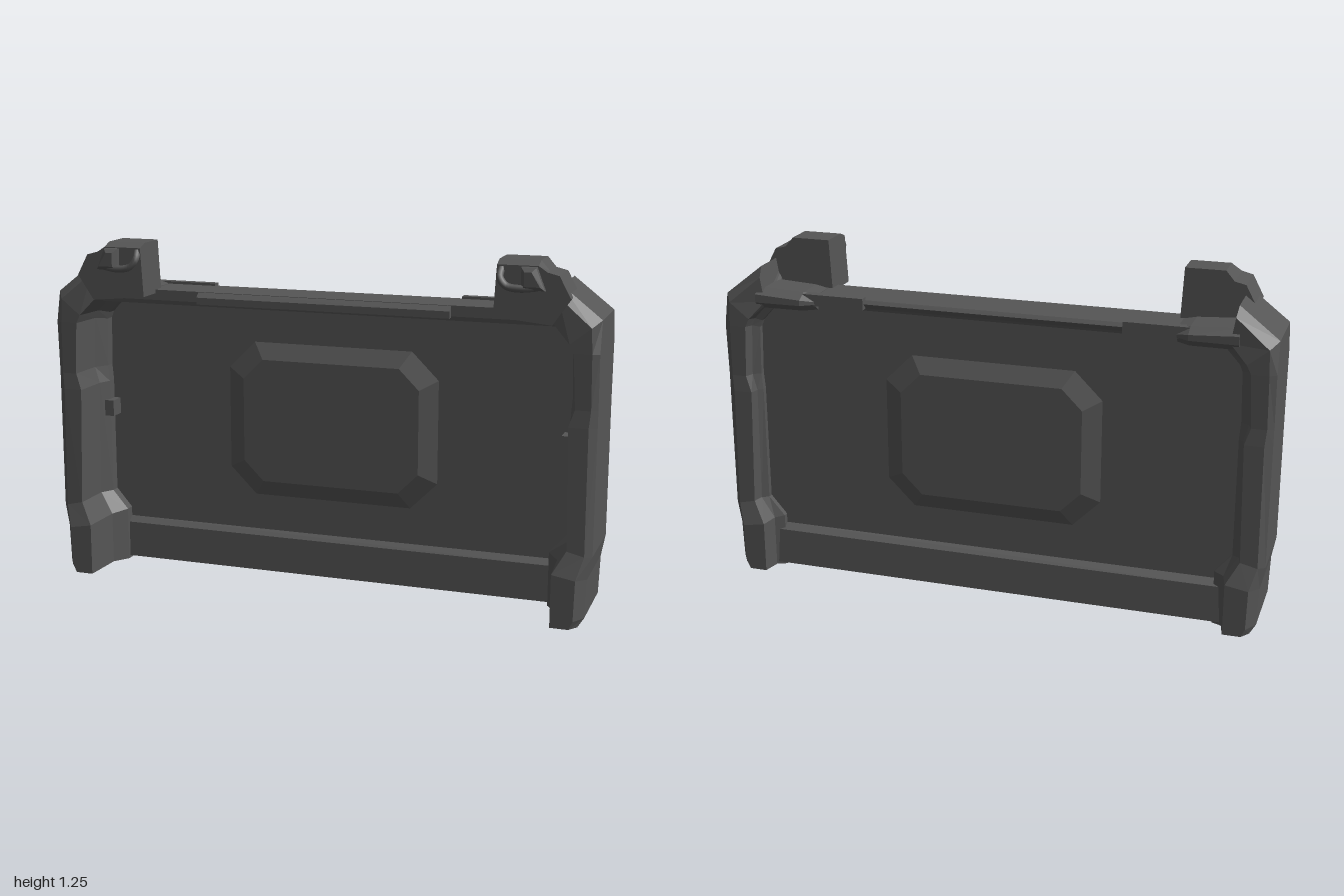
import * as THREE from 'three';

// Closed solid through rings of equal point count, flat shaded, capped at both ends
function loft(rings) {
  const pos = [];
  const tri = (...p) => p.forEach((v) => pos.push(...v));
  const n = rings[0].length;
  for (let i = 0; i < rings.length - 1; i++) {
    for (let j = 0; j < n; j++) {
      const k = (j + 1) % n;
      const a = rings[i][j], b = rings[i][k], c = rings[i + 1][k], d = rings[i + 1][j];
      tri(a, d, b);
      tri(b, d, c);
    }
  }
  const first = rings[0], last = rings[rings.length - 1];
  for (let j = 1; j < n - 1; j++) {
    tri(first[0], first[j], first[j + 1]);
    tri(last[0], last[j + 1], last[j]);
  }
  const g = new THREE.BufferGeometry();
  g.setAttribute('position', new THREE.Float32BufferAttribute(pos, 3));
  g.computeVertexNormals();
  return g;
}

// Mirrors a geometry across x = 0 and keeps its faces outward
function mirrorX(geometry) {
  const g = geometry.index ? geometry.toNonIndexed() : geometry.clone();
  for (const name of ['position', 'normal']) {
    const a = g.attributes[name];
    for (let i = 0; i < a.count; i += 3) {
      const v = [0, 2, 1].map((k) => [-a.getX(i + k), a.getY(i + k), a.getZ(i + k)]);
      v.forEach((p, k) => a.setXYZ(i + k, ...p));
    }
  }
  return g;
}

const box = (x0, x1, y0, y1, z0, z1) =>
  new THREE.BoxGeometry(x1 - x0, y1 - y0, z1 - z0).translate((x0 + x1) / 2, (y0 + y1) / 2, (z0 + z1) / 2);

// Bar along x with a [z, y] profile running front top, back top, back bottom, front bottom
const bar = (x0, x1, profile) => loft([x0, x1].map((x) => profile.map(([z, y]) => [x, y, z])));

export function createModel() {
  const model = new THREE.Group();
  const metal = new THREE.MeshStandardMaterial({ color: 0x555555 });
  metal.name = 'dark grey metal';

  const add = (name, geometry) => {
    const mesh = new THREE.Mesh(geometry, metal);
    mesh.name = name;
    model.add(mesh);
  };
  const pair = (name, geometry) => {
    add('left' + name, geometry);
    add('right' + name, mirrorX(geometry));
  };

  // Thin centre panel, set towards the back, with chamfered upper corners
  const outline = [[-0.92, 0.1], [-0.92, 0.95], [-0.83, 1.05], [0.83, 1.05], [0.92, 0.95], [0.92, 0.1]];
  add('panel', loft([-0.09, -0.06].map((z) => outline.map(([x, y]) => [x, y, z]))));

  // Raised octagonal plates on both faces
  const octagon = (w, h, c, z) => [
    [-w, -h + c], [-w, h - c], [-w + c, h], [w - c, h],
    [w, h - c], [w, -h + c], [w - c, -h], [-w + c, -h],
  ].map(([x, y]) => [x, y + 0.59, z]);
  const plate = loft([octagon(0.4, 0.29, 0.1, 0), octagon(0.335, 0.23, 0.075, 0.03)]);
  add('frontPlate', plate.clone().translate(0, 0, -0.06));
  add('backPlate', plate.clone().rotateY(Math.PI).translate(0, 0, -0.09));

  // Bottom beam with narrow sloped ledges
  add('bottomBeam', bar(-0.86, 0.86, [
    [-0.06, 0.165], [-0.09, 0.165], [-0.118, 0.145], [-0.122, 0.01], [-0.035, 0.01], [-0.037, 0.145],
  ]));

  // Top beam overhanging the panel, with a front lip and rear strips at the ends
  add('topBeam', bar(-0.86, 0.86, [
    [0.06, 1.073], [-0.105, 1.073], [-0.115, 1.06], [-0.095, 1.04], [-0.085, 1.02], [0.055, 1.02], [0.06, 1.035],
  ]));
  add('topLip', bar(-0.47, 0.47, [[0.058, 1.073], [0.05, 1.073], [0.05, 1.03], [0.08, 1.03], [0.08, 1.055]]));
  pair('RearStrip', box(0.47, 0.7, 1.04, 1.082, -0.125, -0.095));

  // Side posts: outer x, y; flange edge x, y; inner x, y; half depth outside and at the
  // flange; front depth of the inner step
  const stations = [
    [0.96, 0, 0.87, 0, 0.82, 0, 0.155, 0.19, 0.03],
    [0.98, 0.03, 0.87, 0.03, 0.82, 0.03, 0.14, 0.19, 0.03],
    [0.985, 0.17, 0.87, 0.19, 0.82, 0.2, 0.14, 0.19, 0.03],
    [1, 0.25, 0.915, 0.27, 0.88, 0.27, 0.137, 0.165, 0.02],
    [1, 0.70, 0.905, 0.70, 0.88, 0.70, 0.137, 0.16, 0.02],
    [1, 0.76, 0.925, 0.76, 0.885, 0.76, 0.137, 0.156, 0.02],
    [1, 0.95, 0.915, 0.95, 0.88, 0.94, 0.145, 0.16, 0.02],
    [1, 1.06, 0.9, 0.98, 0.87, 0.965, 0.117, 0.16, 0.02],
    [0.86, 1.17, 0.84, 1.045, 0.82, 1.02, 0.115, 0.145, 0.02],
  ];
  pair('Post', loft(stations.map(([ox, oy, nx, ny, ix, iy, ho, h, step]) => {
    const across = (t, z) => [ox + (nx - ox) * t, oy + (ny - oy) * t, z];
    const inward = (t, z) => [nx + (ix - nx) * t, ny + (iy - ny) * t, z];
    return [
      across(0, ho), across(0.28, h), across(1, h), inward(0.2, step), inward(1, -0.025),
      inward(1, -0.11), inward(0.3, -0.125), across(1, -h), across(0.28, -h), across(0, -ho),
    ];
  })));

  // Inner latch blocks on the posts
  pair('Latch', box(0.855, 0.9, 0.57, 0.63, -0.065, 0));

  // Rear shoulder caps tying the posts to the beam
  const cap = (x, z, y) => [[0, y], [z + 0.04, y], [z, y - 0.02], [z, 1.045], [z + 0.03, 1.02], [0, 1.02]]
    .map(([pz, py]) => [x, py, pz]);
  pair('RearCap', loft([cap(0.655, -0.125, 1.075), cap(0.7, -0.155, 1.085), cap(0.87, -0.158, 1.095)]));

  // Top clamps, chamfered towards the front
  const clamp = (z, top) => [
    [0.64, 1.06], [0.65, 1.25], [0.79, 1.25], [0.82, 1.215], [0.86, 1.205], [0.9, 1.13], [0.84, 1.04],
  ].map(([x, y]) => [x, Math.min(y, top), z]);
  pair('Clamp', loft([clamp(0.01, 1.25), clamp(0.12, 1.25), clamp(0.16, 1.235)]));
  const seat = (z, d) => [[0.73 + d, 1.15 + d], [0.73 + d, 1.235 - d], [0.79 - d, 1.235 - d], [0.82 - d, 1.15 + d]]
    .map(([x, y]) => [x, y, z]);
  pair('HookSeat', loft([seat(0.13, 0), seat(0.175, 0.005), seat(0.19, 0.018)]));

  // Curved hooks on the clamp fronts
  const hookPath = new THREE.CatmullRomCurve3([
    [0.665, 1.225, 0.15], [0.663, 1.195, 0.172], [0.685, 1.168, 0.178], [0.73, 1.16, 0.178], [0.79, 1.165, 0.165],
  ].map((p) => new THREE.Vector3(...p)));
  pair('Hook', new THREE.TubeGeometry(hookPath, 16, 0.013, 6));

  return model;
}
